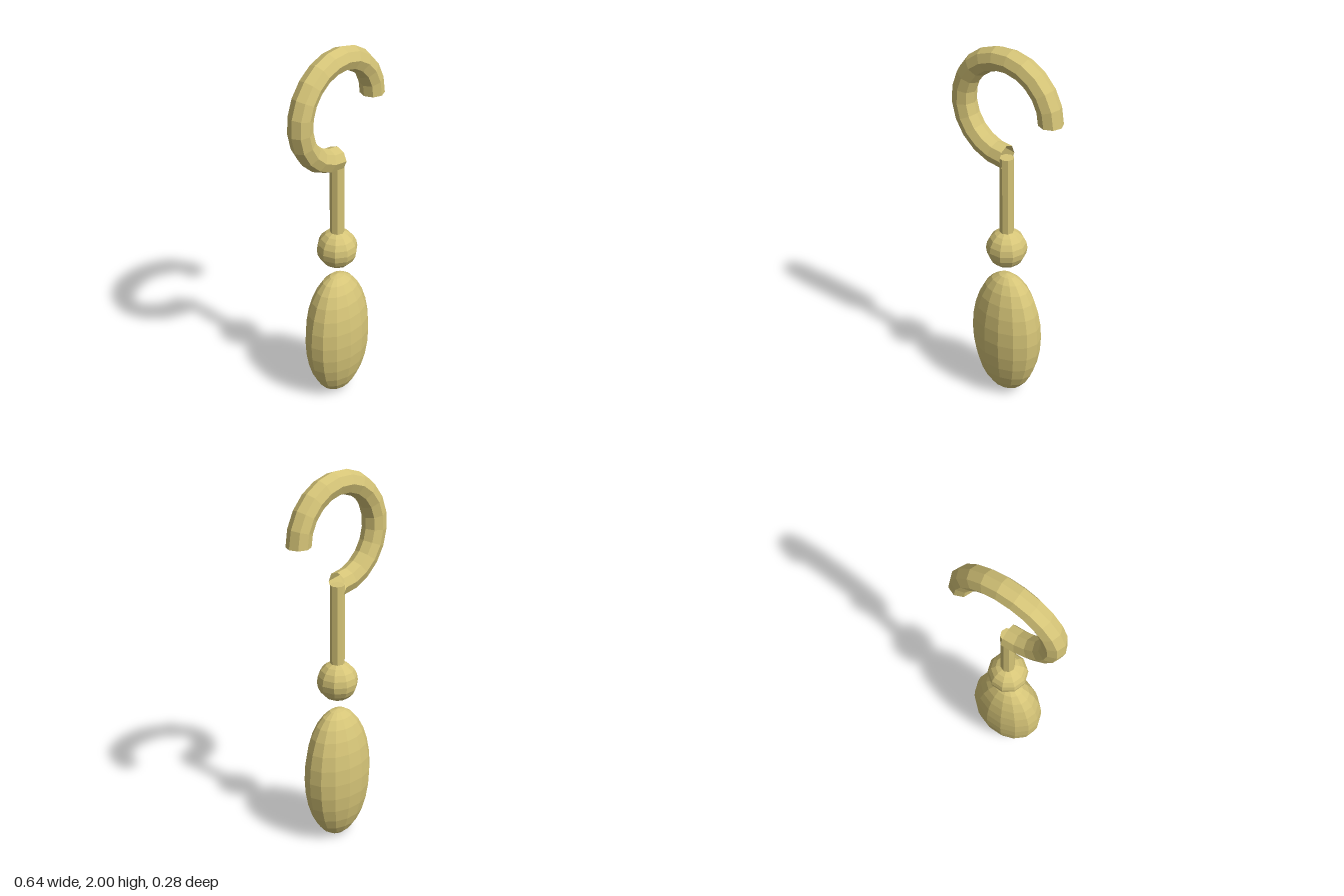
import * as THREE from 'three';

export function createModel() {
  const group = new THREE.Group();
  const gold = new THREE.MeshStandardMaterial({ color: 0xd6c578, flatShading: true, side: THREE.DoubleSide });

  const add = (name, geometry, y) => {
    const mesh = new THREE.Mesh(geometry, gold);
    mesh.name = name;
    mesh.position.y = y;
    group.add(mesh);
    return mesh;
  };

  // Three-quarter ring with open ends, starting at +x and ending at the shank
  add('hook', new THREE.TorusGeometry(0.26, 0.062, 8, 16, Math.PI * 1.5), 1.682);

  // Thin shank running from the bead to the hook
  add('shank', new THREE.CylinderGeometry(0.037, 0.037, 0.44, 8), 1.2);

  // Small round bead
  add('bead', new THREE.SphereGeometry(0.106, 10, 10), 0.897);

  // Hanging drop, flattened front to back
  add('drop', new THREE.SphereGeometry(1, 14, 14), 0.369).scale.set(0.2, 0.369, 0.1415);

  return group;
}
